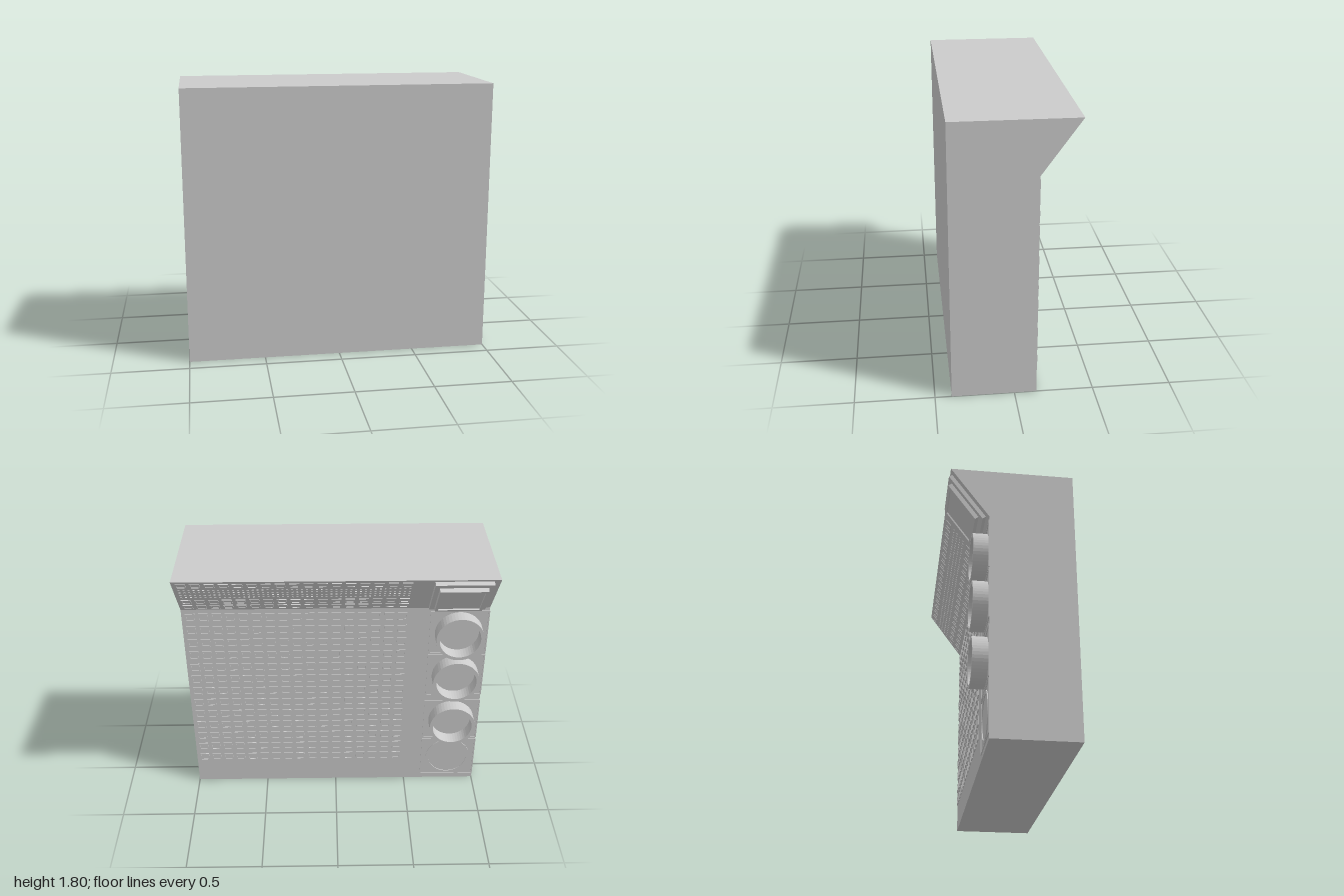
import * as THREE from 'three';
import { mergeGeometries } from 'three/addons/utils/BufferGeometryUtils.js';

const material = new THREE.MeshStandardMaterial({ color: 0xcccccc, flatShading: true });

function add(parent, name, geometry) {
  const mesh = new THREE.Mesh(geometry, material);
  mesh.name = name;
  parent.add(mesh);
  return mesh;
}

function extrude(shape, depth, curveSegments = 32) {
  return new THREE.ExtrudeGeometry(shape, { depth, bevelEnabled: false, curveSegments });
}

function rectangle(target, w, h) {
  target.moveTo(-w / 2, -h / 2);
  target.lineTo(w / 2, -h / 2);
  target.lineTo(w / 2, h / 2);
  target.lineTo(-w / 2, h / 2);
  target.closePath();
  return target;
}

// Rectangular outline of width w, height h and border t
function frame(w, h, t, depth) {
  const shape = rectangle(new THREE.Shape(), w, h);
  shape.holes.push(rectangle(new THREE.Path(), w - 2 * t, h - 2 * t));
  return extrude(shape, depth);
}

function ring(outer, inner, depth) {
  const shape = new THREE.Shape().absarc(0, 0, outer, 0, Math.PI * 2, false);
  shape.holes.push(new THREE.Path().absarc(0, 0, inner, 0, Math.PI * 2, true));
  return extrude(shape, depth, 24);
}

// Copies one geometry over a grid of columns and rows
function grid(geometry, columns, rows) {
  const copies = [];
  for (const y of rows) for (const x of columns) copies.push(geometry.clone().translate(x, y, 0));
  return mergeGeometries(copies);
}

function steps(start, end, count) {
  return Array.from({ length: count }, (_, i) => start + (end - start) * i / (count - 1));
}

export function createModel() {
  const model = new THREE.Group();
  model.name = 'cabinet';

  // Cabinet body: side profile with an overhanging top, swept across the width
  const profile = new THREE.Shape();
  profile.moveTo(-0.395, 0);
  profile.lineTo(0.14, 0);
  profile.lineTo(0.14, 1.46);
  profile.lineTo(0.385, 1.8);
  profile.lineTo(-0.395, 1.8);
  profile.closePath();
  add(model, 'body', extrude(profile, 2).rotateY(Math.PI / 2).translate(-1, 0, 0));

  // Rear panel, worked in a group whose +z points backwards
  const rear = new THREE.Group();
  rear.name = 'rearPanel';
  rear.rotation.y = Math.PI;
  model.add(rear);

  const columns = steps(-0.945, 0.435, 17);
  add(rear, 'sockets', grid(frame(0.062, 0.06, 0.008, 0.006), columns, steps(1.4, 0.22, 13)))
    .position.z = 0.14;

  // Four fan bays: three deep collars and one flush ring
  [1.268, 0.925, 0.545, 0.2].forEach((y, i) => {
    const bay = new THREE.Group();
    bay.name = 'fanBay';
    bay.position.set(0.81, y, 0.14);
    rear.add(bay);
    add(bay, 'bayFrame', frame(0.36, 0.335, 0.008, 0.005)).scale.x = 1.07;
    add(bay, 'fanCollar', ring(0.157, 0.135, i < 3 ? 0.095 : 0.006));
  });

  // Sloping panel under the overhang
  const slope = new THREE.Group();
  slope.name = 'slopingPanel';
  slope.position.set(0, 1.46, 0.14);
  slope.rotation.x = Math.atan2(0.245, 0.34);
  rear.add(slope);
  add(slope, 'slopeSockets', grid(frame(0.062, 0.055, 0.008, 0.005), columns, [0.05, 0.13, 0.365]));
  add(slope, 'pins', grid(new THREE.BoxGeometry(0.012, 0.012, 0.008),
    steps(-0.965, 0.455, 48), [0.195, 0.23, 0.265, 0.3]));

  // Stepped display at the end of the sloping panel
  const display = new THREE.Group();
  display.name = 'display';
  display.position.set(0.78, 0.214, 0);
  slope.add(display);
  add(display, 'displayBase', new THREE.BoxGeometry(0.36, 0.37, 0.026)).position.z = 0.013;
  add(display, 'displayRim', frame(0.3, 0.295, 0.018, 0.028)).position.z = 0.026;
  add(display, 'displayScreen', new THREE.BoxGeometry(0.264, 0.259, 0.018)).position.z = 0.035;

  return model;
}
